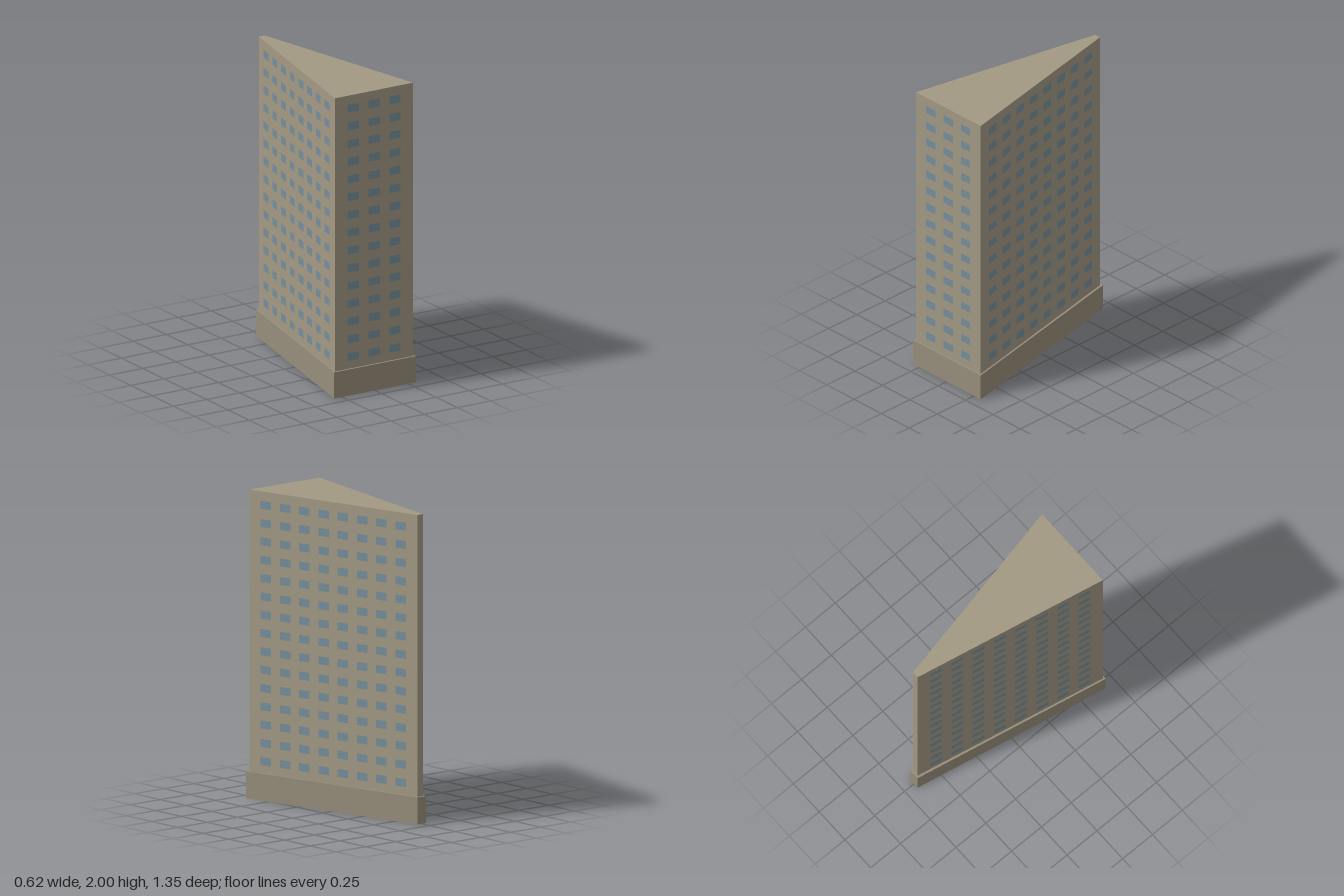
import * as THREE from 'three';

const WALL = new THREE.MeshStandardMaterial({ color: 0xa39984 });
const BASE = new THREE.MeshStandardMaterial({ color: 0x968d7a });
const GLASS = new THREE.MeshStandardMaterial({ color: 0x768e9c });

// Upright prism on a wedge-shaped plan, wide at the front (+z)
function wedge(name, front, back, halfDepth, y0, y1, material) {
  const plan = new THREE.Shape([
    new THREE.Vector2(-front, -halfDepth),
    new THREE.Vector2(front, -halfDepth),
    new THREE.Vector2(back, halfDepth),
    new THREE.Vector2(-back, halfDepth),
  ]);
  const geometry = new THREE.ExtrudeGeometry(plan, { depth: y1 - y0, bevelEnabled: false });
  geometry.rotateX(-Math.PI / 2);
  geometry.translate(0, y0, 0);
  const mesh = new THREE.Mesh(geometry, material);
  mesh.name = name;
  return mesh;
}

// Grid of window panes on the wall running from a to b (as [x, z]), seen from outside left to right
function windowGrid(name, a, b, columns, spacing, width) {
  const rows = 15, firstRow = 0.253, rowStep = 0.1186, paneHeight = 0.052;
  const group = new THREE.Group();
  group.name = name;
  const pane = new THREE.PlaneGeometry(width, paneHeight);
  for (let row = 0; row < rows; row++) {
    for (let col = 0; col < columns; col++) {
      const mesh = new THREE.Mesh(pane, GLASS);
      mesh.name = 'windowPane';
      mesh.position.set((col - (columns - 1) / 2) * spacing, firstRow + row * rowStep, 0.002);
      group.add(mesh);
    }
  }
  group.position.set((a[0] + b[0]) / 2, 0, (a[1] + b[1]) / 2);
  group.rotation.y = -Math.atan2(b[1] - a[1], b[0] - a[0]);
  return group;
}

export function createModel() {
  const model = new THREE.Group();
  model.name = 'wedgeBuilding';

  const front = 0.295, back = 0.022, depth = 0.659;
  model.add(wedge('base', 0.309, 0.035, 0.673, 0, 0.175, BASE));
  model.add(wedge('tower', front, back, depth, 0.175, 2, WALL));

  // Windows on the front and both long sides; the narrow back is blank
  model.add(windowGrid('frontWindows', [-front, depth], [front, depth], 3, 0.158, 0.085));
  model.add(windowGrid('leftWindows', [front, depth], [back, -depth], 8, 0.154, 0.085));
  model.add(windowGrid('rightWindows', [-back, -depth], [-front, depth], 8, 0.154, 0.085));

  return model;
}
